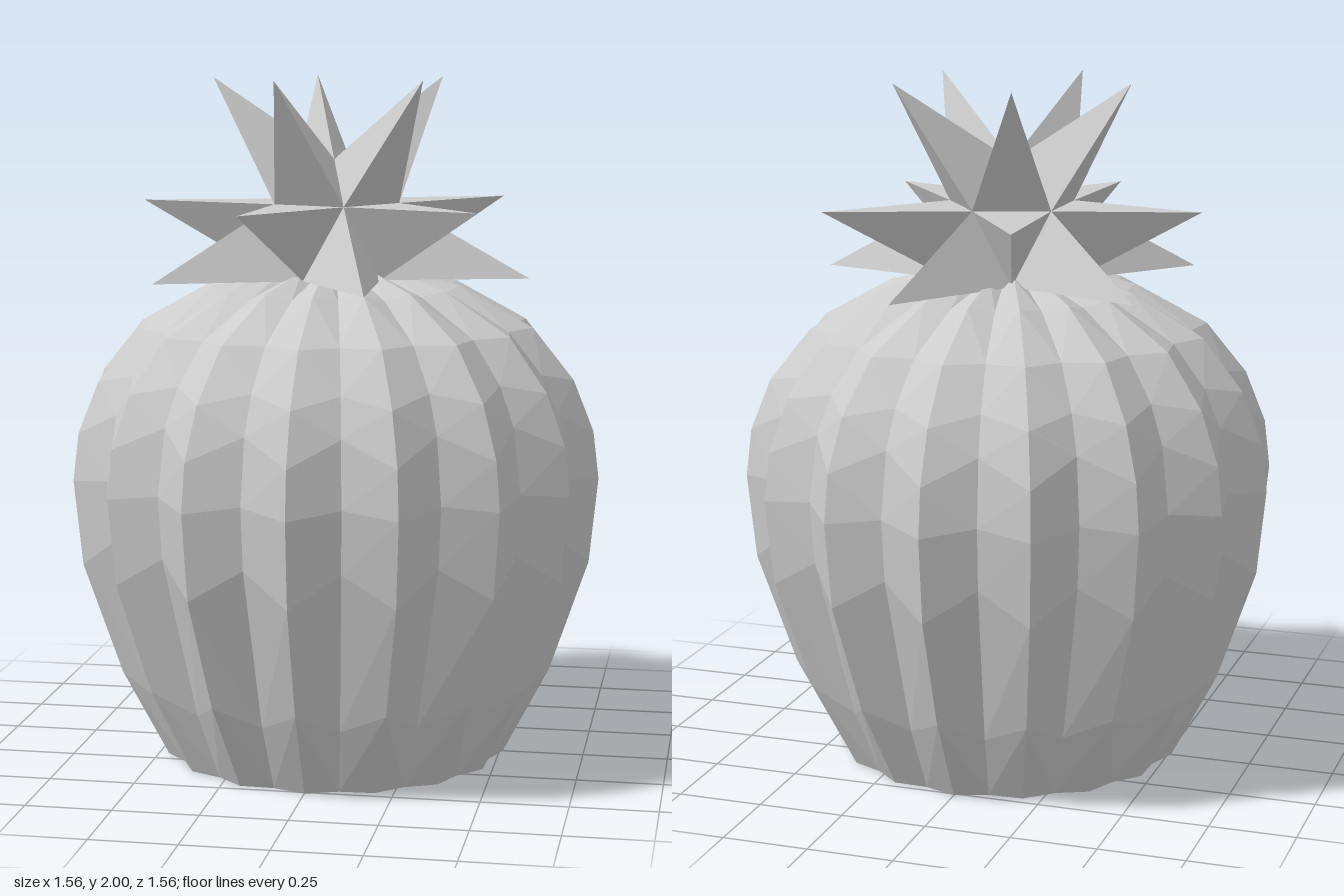
import * as THREE from 'three';

const material = new THREE.MeshStandardMaterial({
  color: 0xcccccc, flatShading: true, side: THREE.DoubleSide,
});

// Point at a radius, height and angle in degrees round the vertical axis
const polar = (r, y, deg) => {
  const a = THREE.MathUtils.degToRad(deg);
  return new THREE.Vector3(r * Math.cos(a), y, r * Math.sin(a));
};

function facetedMesh(name, points) {
  const geometry = new THREE.BufferGeometry().setFromPoints(points);
  geometry.computeVertexNormals();
  const mesh = new THREE.Mesh(geometry, material);
  mesh.name = name;
  return mesh;
}

// Ribbed shell, open underneath: ridge and valley profiles alternate
function createBody() {
  const ridge = [[0.51, 0], [0.645, 0.26], [0.757, 0.59], [0.782, 0.84], [0.765, 0.98],
    [0.705, 1.13], [0.585, 1.28], [0.37, 1.4], [0.18, 1.45], [0, 1.43]];
  const valley = [[0.485, 0], [0.57, 0.2], [0.7, 0.68], [0.714, 0.86], [0.685, 1.05],
    [0.635, 1.16], [0.535, 1.28], [0.34, 1.385], [0.16, 1.43], [0, 1.43]];
  const segments = 32;
  const points = [];
  const at = (row, seg) => {
    const [r, y] = (seg % 2 ? valley : ridge)[row];
    return polar(r, y, (seg * 360) / segments);
  };
  for (let i = 0; i < ridge.length - 1; i++) {
    for (let j = 0; j < segments; j++) {
      const a = at(i, j), b = at(i, j + 1), c = at(i + 1, j), d = at(i + 1, j + 1);
      const last = i === ridge.length - 2;
      if (last) points.push(a, c, b);
      else if (j % 2) points.push(a, c, d, a, d, b);
      else points.push(a, c, b, b, c, d);
    }
  }
  return facetedMesh('ribbedBody', points);
}

// Crown: an icosahedral core with a three-sided spike on each of its 20 faces
function createCrown() {
  const points = [];
  const spike = (a, b, c, tip) => points.push(a, b, tip, b, c, tip, c, a, tip);
  const top = polar(0, 0.232, 0), bottom = polar(0, -0.232, 0);
  const upper = (k) => polar(0.192, 0.107, 72 * k);
  const lower = (k) => polar(0.192, -0.107, 72 * k + 36);
  for (let k = 0; k < 5; k++) {
    spike(top, upper(k + 1), upper(k), polar(0.358, 0.467, 72 * k + 36));
    spike(upper(k), upper(k + 1), lower(k), polar(0.57, 0.107, 72 * k + 36));
    spike(lower(k), upper(k + 1), lower(k + 1), polar(0.575, -0.107, 72 * k + 72));
    spike(bottom, lower(k), lower(k + 1), polar(0.358, -0.467, 72 * k + 72));
  }
  const crown = facetedMesh('spikyCrown', points);
  crown.position.set(0, 1.533, 0.02);
  return crown;
}

export function createModel() {
  const model = new THREE.Group();
  model.name = 'ribbedPlant';
  model.add(createBody(), createCrown());
  return model;
}
